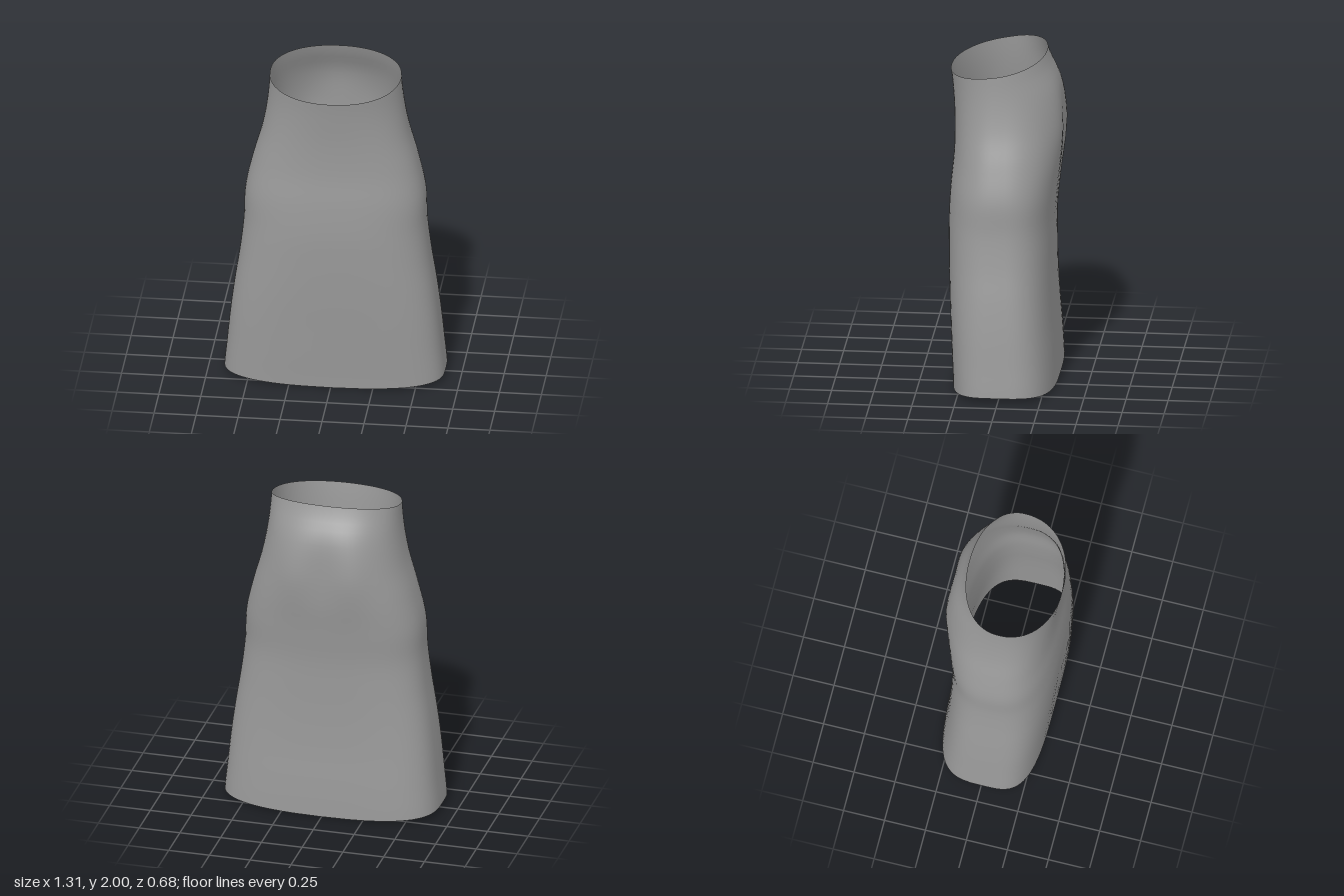
import * as THREE from 'three';

// Smooth curve through values sampled every 0.2 units of height, from y = 0 to y = 2
function profile(values) {
  const curve = new THREE.SplineCurve(values.map((v, i) => new THREE.Vector2(i * 0.2, v)));
  return (y) => curve.getPoint(THREE.MathUtils.clamp(y / 2, 0, 1)).y;
}

const halfWidth = profile([0.658, 0.64, 0.62, 0.595, 0.565, 0.543, 0.534, 0.49, 0.435, 0.402, 0.388]);
const frontDepth = profile([0.30, 0.31, 0.32, 0.33, 0.337, 0.34, 0.33, 0.312, 0.31, 0.324, 0.347]);
const backDepth = profile([0.316, 0.307, 0.293, 0.285, 0.283, 0.287, 0.307, 0.33, 0.335, 0.315, 0.235]);
const squareness = profile([3.5, 3.4, 3.3, 3.1, 2.9, 2.7, 2.6, 2.5, 2.4, 2.2, 2.1]);

const CENTRE_Z = 0.02;
const bump = (d, width) => Math.exp(-((d / width) ** 2));
const signedPower = (v, p) => Math.sign(v) * Math.abs(v) ** p;

// Point on the cloth: angle runs around the body, t runs from hem to waist
function clothPoint(angle, t) {
  const c = Math.cos(angle), s = Math.sin(angle);
  const base = t * 1.945;
  const p = 2 / squareness(base);
  const ux = signedPower(c, p), uz = signedPower(s, p);

  // Hem lifts at the sides; waist tilts down to the front
  const y = base + 0.03 * ux * ux * (1 - t) ** 3 - 0.055 * uz * t ** 5;
  const x = ux * halfWidth(y);
  let z = CENTRE_Z + uz * (uz > 0 ? frontDepth(y) - CENTRE_Z : backDepth(y) + CENTRE_Z);

  // Two soft lobes and a shallow hollow at the back
  if (uz < 0) {
    const lobes = 0.016 * bump(Math.abs(x) - 0.19, 0.11) * bump(y - 1.58, 0.2);
    const hollow = 0.006 * bump(x, 0.07) * bump(y - 1.55, 0.2);
    z += (hollow - lobes) * -uz;
  }
  return [x, y, z];
}

// Open tube of cloth, built ring by ring with a shared seam for smooth normals
function clothGeometry(around, rows) {
  const positions = [], indices = [];
  for (let j = 0; j <= rows; j++) {
    for (let i = 0; i < around; i++) {
      positions.push(...clothPoint((i / around) * Math.PI * 2, j / rows));
    }
  }
  for (let j = 0; j < rows; j++) {
    for (let i = 0; i < around; i++) {
      const next = (i + 1) % around;
      const a = j * around + i, b = j * around + next;
      const d = a + around, e = b + around;
      indices.push(a, d, b, b, d, e);
    }
  }
  const geometry = new THREE.BufferGeometry();
  geometry.setAttribute('position', new THREE.Float32BufferAttribute(positions, 3));
  geometry.setIndex(indices);
  geometry.computeVertexNormals();
  return geometry;
}

export function createModel() {
  const group = new THREE.Group();
  group.name = 'skirt';

  const cloth = new THREE.MeshStandardMaterial({ color: 0x999999 });
  cloth.name = 'grey cloth';
  cloth.side = THREE.DoubleSide;

  const body = new THREE.Mesh(clothGeometry(72, 48), cloth);
  body.name = 'skirtCloth';
  group.add(body);
  return group;
}
